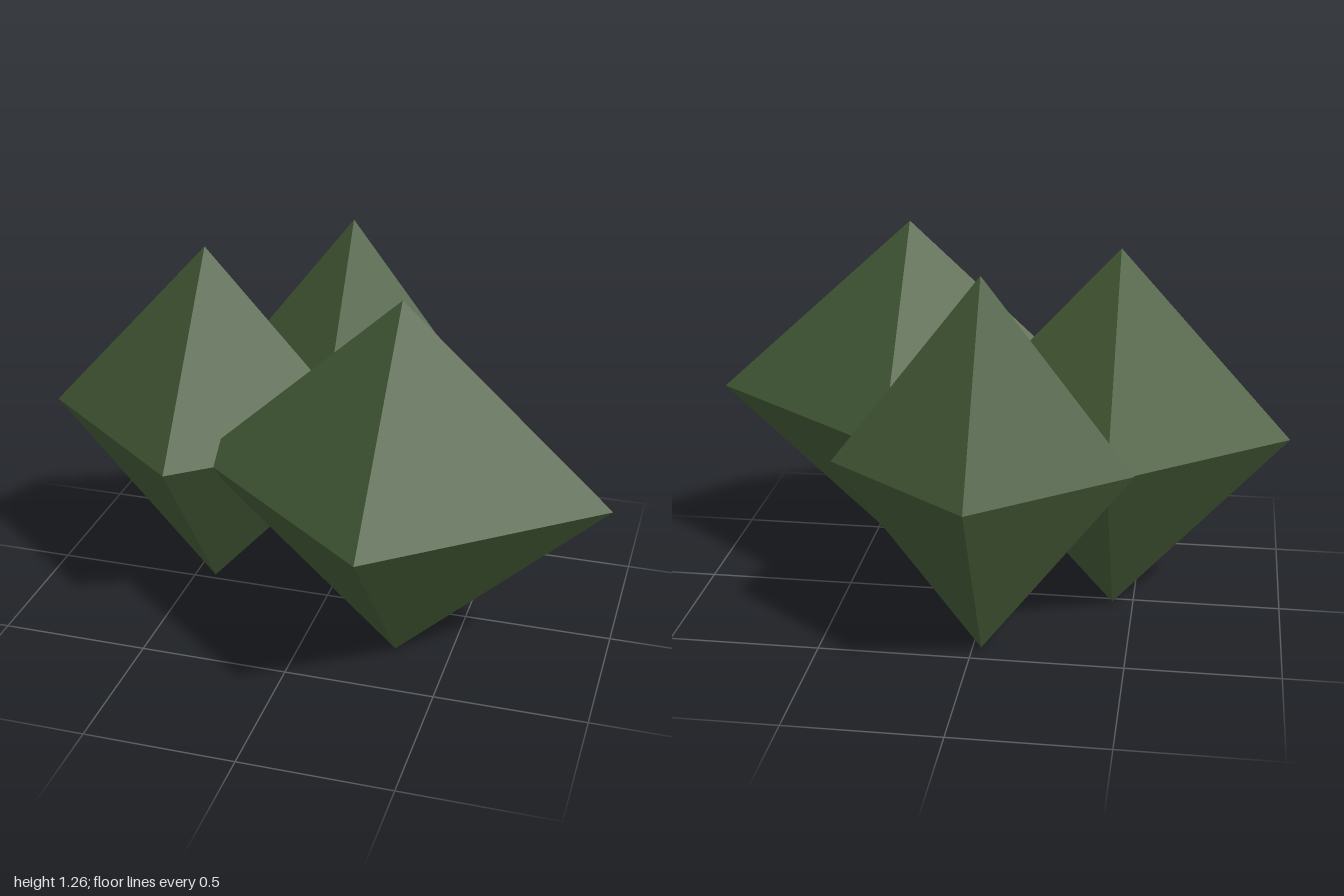
import * as THREE from 'three';

export function createModel() {
  const group = new THREE.Group();
  group.name = 'bushCluster';
  const leafGreen = new THREE.MeshStandardMaterial({ color: 0x445a36 });
  leafGreen.name = 'leafGreen';
  leafGreen.flatShading = true;

  const halfHeight = 0.628;

  // Three overlapping diamond clumps, each a stretched octahedron: x, z, half width, half depth
  const clumps = [
    ['rightClump', -0.429, -0.024, 0.571, 0.454],
    ['frontClump', 0.315, 0.262, 0.685, 0.545],
    ['backClump', -0.028, -0.422, 0.484, 0.385],
  ];
  for (const [name, x, z, halfWidth, halfDepth] of clumps) {
    const geometry = new THREE.OctahedronGeometry(1);
    geometry.scale(halfWidth, halfHeight, halfDepth);
    const clump = new THREE.Mesh(geometry, leafGreen);
    clump.name = name;
    clump.position.set(x, halfHeight, z);
    group.add(clump);
  }
  return group;
}
